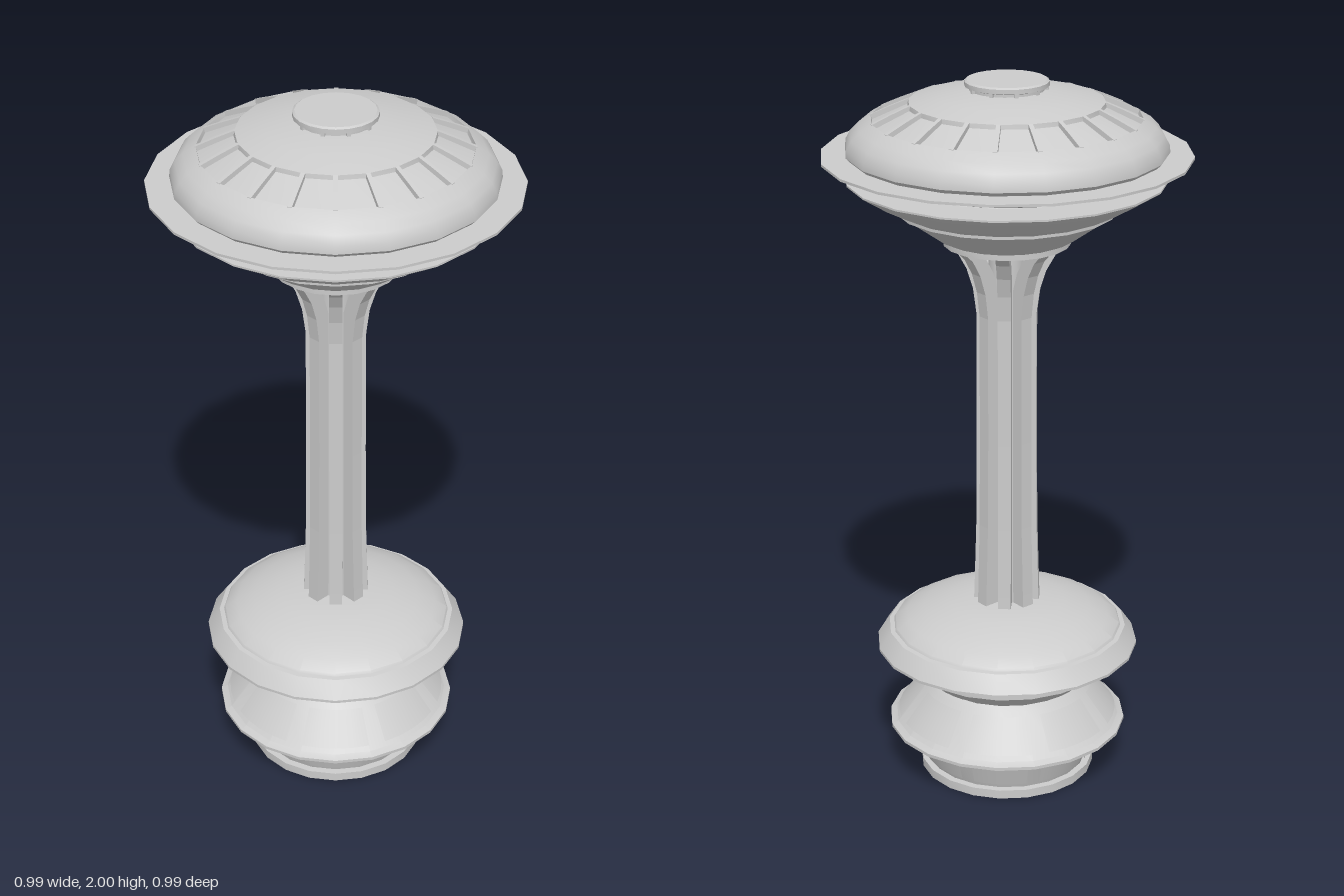
import * as THREE from 'three';
import { toCreasedNormals } from 'three/addons/utils/BufferGeometryUtils.js';

const SIDES = 20;
const material = new THREE.MeshStandardMaterial({ color: 0xcccccc, side: THREE.DoubleSide });

export function createModel() {
  const tower = new THREE.Group();
  tower.name = 'observationTower';

  const add = (name, geometry, parent = tower) => {
    const mesh = new THREE.Mesh(geometry, material);
    mesh.name = name;
    parent.add(mesh);
    return mesh;
  };

  // Revolved part; profile of [radius, height], running outward and upward
  const turned = (name, profile) => {
    const points = profile.map(([r, y]) => new THREE.Vector2(r, y));
    add(name, toCreasedNormals(new THREE.LatheGeometry(points, SIDES), 0.5));
  };

  // Upright blades around the axis, each cut from a [radius, height] outline
  const blades = (name, outline, width, count) => {
    const shape = new THREE.Shape(outline.map(([r, y]) => new THREE.Vector2(r, y)));
    const geometry = new THREE.ExtrudeGeometry(shape, { depth: width, bevelEnabled: false });
    geometry.translate(0, 0, -width / 2);
    const ring = new THREE.Group();
    ring.name = name + 's';
    for (let i = 0; i < count; i++) {
      add(name, geometry, ring).rotation.y = (i / count) * Math.PI * 2;
    }
    tower.add(ring);
  };

  // Window panels lying just proud of a conical wall
  const panels = (name, [r0, y0], [r1, y1], count, fill) => {
    const pitch = (Math.PI * 2) / count;
    const lift = 0.004;
    const geometry = new THREE.CylinderGeometry(
      r1 + lift, r0 + lift, y1 - y0, 4, 1, true, -pitch * fill / 2, pitch * fill);
    geometry.translate(0, (y0 + y1) / 2, 0);
    const ring = new THREE.Group();
    ring.name = name + 's';
    for (let i = 0; i < count; i++) add(name, geometry, ring).rotation.y = i * pitch;
    tower.add(ring);
  };

  // Base ring and hollow lower storey
  turned('baseRing', [[0.225, 0], [0.247, 0], [0.247, 0.025], [0.225, 0.025], [0.225, 0]]);
  turned('lowerStorey', [[0.225, 0.02], [0.265, 0.132]]);
  panels('lowerWindow', [0.234, 0.04], [0.26, 0.118], 8, 0.8);

  // Middle storey with its eave, and the flared storey above
  turned('middleStorey', [[0, 0.133], [0.325, 0.133], [0.336, 0.138], [0.336, 0.147],
    [0.318, 0.155], [0.23, 0.265], [0.215, 0.278]]);
  panels('middleWindow', [0.306, 0.17], [0.238, 0.255], 8, 0.8);
  turned('upperStorey', [[0.215, 0.275], [0.275, 0.332], [0.29, 0.332], [0.29, 0.346], [0, 0.346]]);
  panels('upperWindow', [0.225, 0.285], [0.268, 0.326], 8, 0.8);

  // Lower dome
  turned('lowerDome', [[0, 0.38], [0.368, 0.38], [0.368, 0.388], [0.335, 0.435], [0.322, 0.437],
    [0.318, 0.444], [0.285, 0.466], [0.235, 0.487], [0.165, 0.507], [0.1, 0.515], [0, 0.517]]);

  // Column: core plus flaring fins
  turned('columnCore', [[0, 0.02], [0.093, 0.02], [0.093, 0.03], [0.058, 0.03],
    [0.052, 0.6], [0.05, 1.56]]);
  const finEdge = [[0.098, 0.03], [0.097, 0.38], [0.09, 0.55], [0.084, 0.75], [0.082, 1.0],
    [0.081, 1.36], [0.09, 1.43], [0.107, 1.485], [0.132, 1.53], [0.162, 1.56]];
  const finInner = finEdge.map(([r, y]) => [r - 0.045, y]).reverse();
  blades('columnFin', [...finEdge, ...finInner], 0.036, 8);

  // Saucer underside
  turned('saucerUnderside', [[0, 1.557], [0.172, 1.557], [0.172, 1.572], [0.19, 1.58],
    [0.285, 1.648], [0.298, 1.652], [0.298, 1.66], [0.36, 1.692], [0.43, 1.736],
    [0.43, 1.741], [0.32, 1.741]]);

  // Glazed gallery between the saucer halves
  turned('galleryWall', [[0.315, 1.741], [0.415, 1.797]]);
  panels('galleryWindow', [0.326, 1.746], [0.406, 1.792], 10, 0.94);

  // Thin rim disc
  turned('rimDisc', [[0, 1.794], [0.495, 1.794], [0.495, 1.801], [0, 1.801]]);

  // Saucer dome with a recessed skylight band
  turned('saucerDome', [[0.418, 1.8], [0.43, 1.812], [0.428, 1.832], [0.415, 1.856],
    [0.393, 1.878], [0.36, 1.898], [0.357, 1.886], [0.262, 1.93], [0.26, 1.942],
    [0.19, 1.96], [0.11, 1.973], [0, 1.975]]);
  blades('skylightRib', [[0.36, 1.88], [0.362, 1.898], [0.31, 1.922], [0.26, 1.943], [0.258, 1.925]],
    0.012, SIDES);

  // Top cap
  turned('topCap', [[0.1, 1.968], [0.1, 1.98], [0.112, 1.984], [0.112, 1.996], [0.106, 2], [0, 2]]);
  blades('capStud', [[0.09, 1.968], [0.108, 1.968], [0.108, 1.986], [0.09, 1.986]], 0.01, 10);

  return tower;
}
